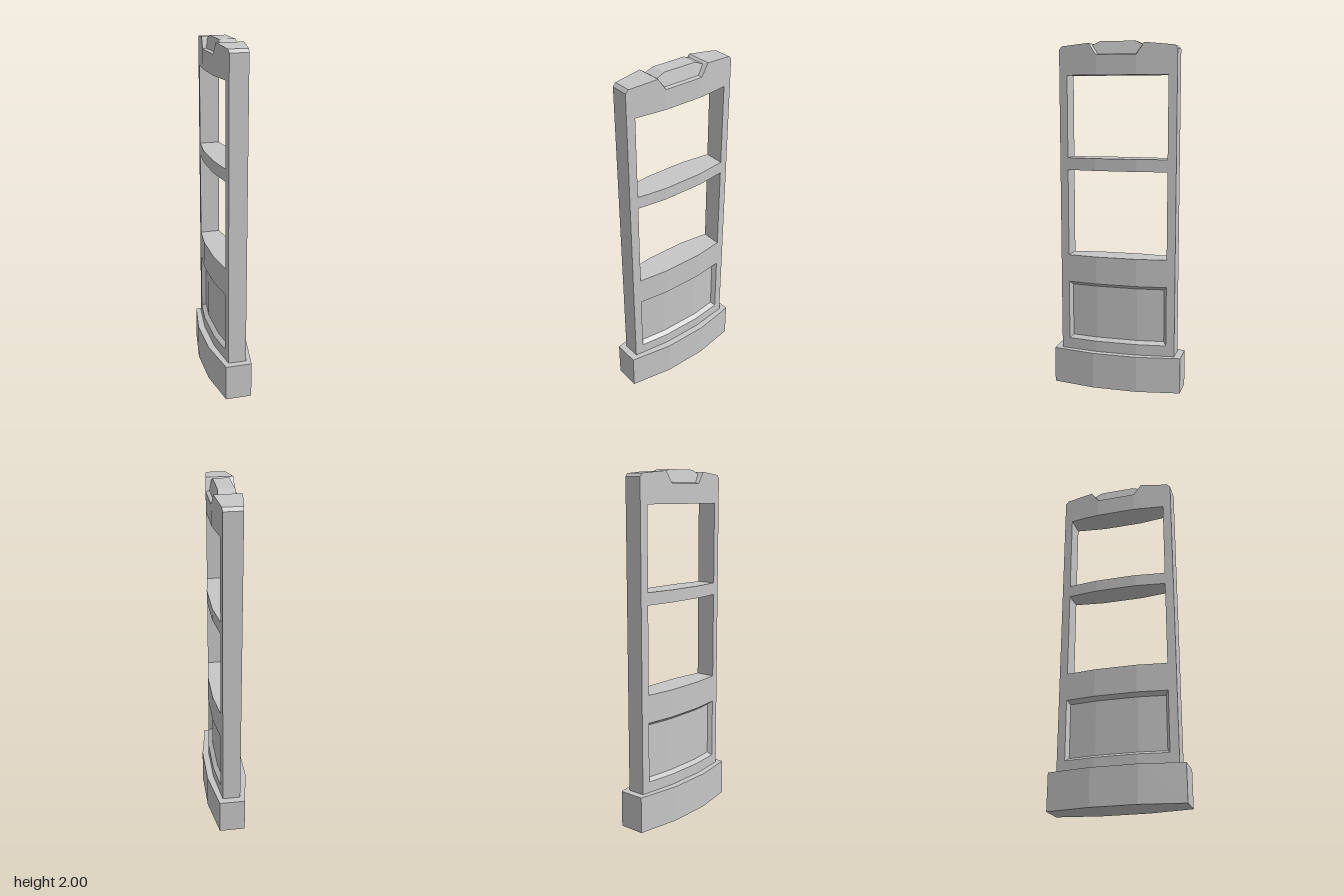
import * as THREE from 'three';

const Z_BREAK = 0.12, Z_END = 0.34, Z_OPEN = 0.292;

// half thickness of the body at depth z: flat in the middle, tapering to the ends
const halfWidth = z => {
  const t = Math.max(0, (Math.abs(z) - Z_BREAK) / (Z_END - Z_BREAK));
  return 0.08 - 0.028 * t;
};

function geometryFrom(tris) {
  const g = new THREE.BufferGeometry();
  g.setAttribute('position', new THREE.Float32BufferAttribute(tris.flat(), 3));
  g.computeVertexNormals();
  return g;
}

// skin closed cross-sections ordered from -z to +z, with end caps
function loft(rings) {
  const tris = [], n = rings[0].length, last = rings[rings.length - 1];
  for (let i = 0; i < rings.length - 1; i++) {
    for (let j = 0; j < n; j++) {
      const k = (j + 1) % n;
      const a = rings[i][j], b = rings[i][k], c = rings[i + 1][k], d = rings[i + 1][j];
      tris.push(a, b, c, a, c, d);
    }
  }
  for (let j = 1; j < n - 1; j++) {
    tris.push(last[0], last[j], last[j + 1]);
    tris.push(rings[0][0], rings[0][j + 1], rings[0][j]);
  }
  return geometryFrom(tris);
}

// complete a right-hand chain of points into a symmetric ring
const mirrorRing = chain => [...chain, ...chain.map(([x, y, z]) => [-x, y, z]).reverse()];

// slab between two heights following a width rule
const slab = (zs, y0, y1, width = halfWidth) =>
  loft(zs.map(z => mirrorRing([[width(z), y0, z], [width(z), y1, z]])));

export function createModel() {
  const model = new THREE.Group();
  const grey = new THREE.MeshStandardMaterial({ color: 0xc6c6c6 });
  grey.name = 'light grey';
  const add = (name, geometry) => {
    const mesh = new THREE.Mesh(geometry, grey);
    mesh.name = name;
    model.add(mesh);
  };

  // base plinth
  const baseWidth = z => (Math.abs(z) > 0.2 ? 0.075 : 0.118);
  add('base', slab([-0.38, -0.13, 0.13, 0.38], 0, 0.21, baseWidth));

  // end posts
  add('frontPost', slab([Z_OPEN, Z_END], 0.21, 1.815));
  add('backPost', slab([-Z_END, -Z_OPEN], 0.21, 1.815));

  // cross rails
  const span = [-Z_OPEN, -Z_BREAK, Z_BREAK, Z_OPEN];
  add('bottomRail', slab(span, 0.21, 0.273));
  add('lowerRail', slab(span, 0.62, 0.78));
  add('middleRail', slab(span, 1.28, 1.35));

  // recessed lower panel
  const panelWidth = z => halfWidth(z) - 0.026;
  add('recessedPanel', slab([-0.275, -Z_BREAK, Z_BREAK, 0.275], 0.273, 0.62, panelWidth));

  // sloping frame around the panel on both faces
  const loop = (zEnd, y0, y1, width) => {
    const zs = [zEnd, Z_BREAK, -Z_BREAK, -zEnd];
    return [...zs.map(z => [width(z), y0, z]), ...zs.reverse().map(z => [width(z), y1, z])];
  };
  const outer = loop(Z_OPEN, 0.273, 0.62, halfWidth);
  const inner = loop(0.275, 0.29, 0.6, panelWidth);
  const bevel = [];
  outer.forEach((a, j) => {
    const k = (j + 1) % outer.length;
    bevel.push(a, outer[k], inner[k], a, inner[k], inner[j]);
  });
  add('leftPanelBevel', geometryFrom(bevel));
  add('rightPanelBevel', geometryFrom(bevel.map(([x, y, z]) => [-x, y, z]).reverse()));

  // head with side notches and a raised centre cap
  const headChain = (z, y) => {
    const w = halfWidth(z);
    return [[w, 1.815, z], [w, y, z], [0.05, y, z], [0.046, y, z]];
  };
  const wPeak = halfWidth(0.16);
  const half = [
    [[0.08, 1.815, 0.115], [0.08, 1.925, 0.115], [0.06, 1.93, 0.11], [0.045, 2, 0.1]],
    [[wPeak, 1.815, 0.16], [wPeak, 1.99, 0.16], [0.05, 1.98, 0.145], [0.046, 1.98, 0.145]],
    headChain(0.16, 1.99),
    headChain(0.323, 1.975),
    headChain(Z_END, 1.957),
  ];
  const flipped = half.map(chain => chain.map(([x, y, z]) => [x, y, -z])).reverse();
  add('head', loft([...flipped, ...half].map(mirrorRing)));

  return model;
}
